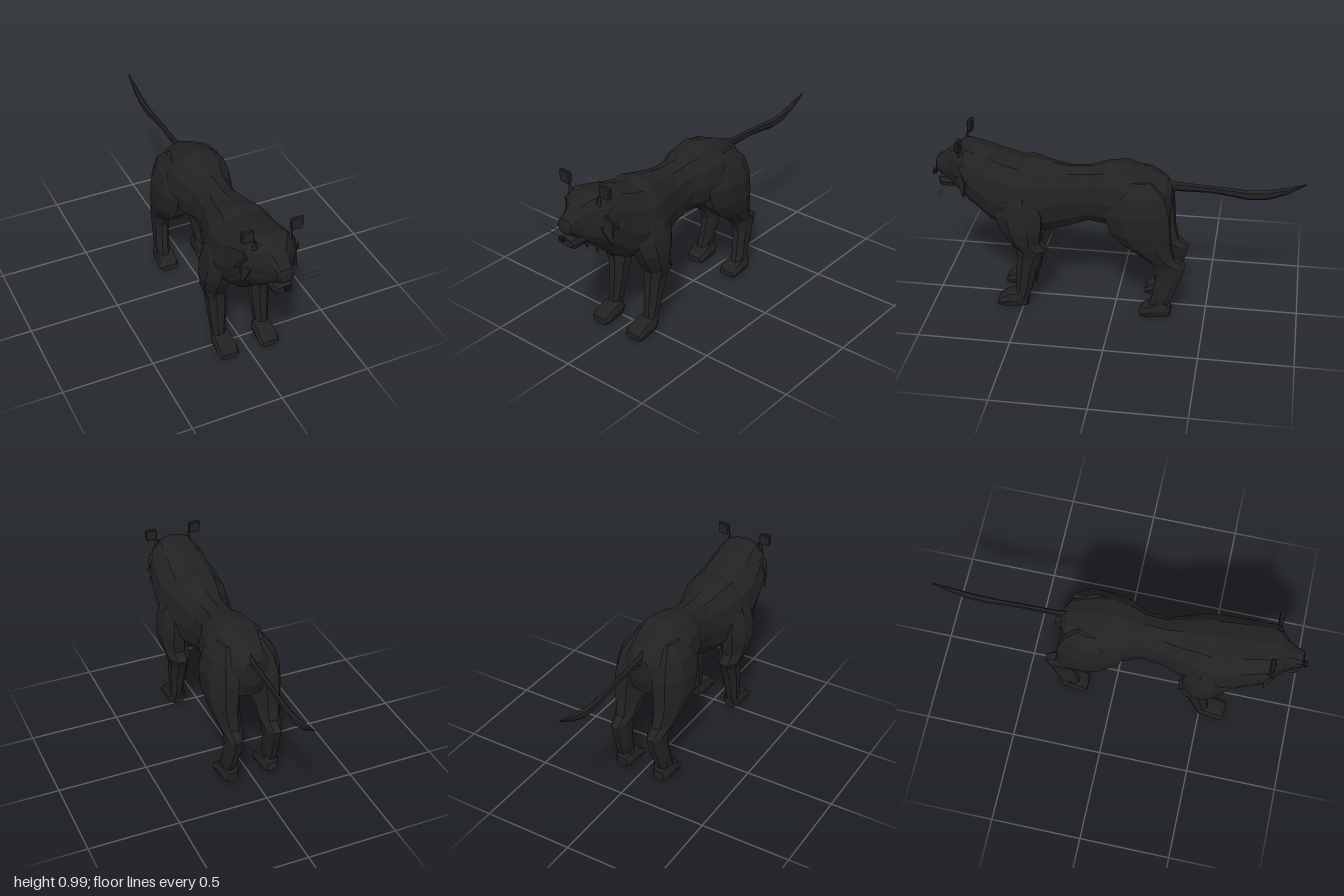
import * as THREE from 'three';

const mat = (name, color, extra = {}) => {
  const m = new THREE.MeshStandardMaterial({ color, flatShading: true, ...extra });
  m.name = name;
  return m;
};

// Skin a list of rings (arrays of Vector3) and close both ends
function loft(rings) {
  const n = rings[0].length, tri = [];
  const centre = r => r.reduce((s, p) => s.add(p), new THREE.Vector3()).divideScalar(n);
  for (let i = 0; i < rings.length - 1; i++) {
    for (let j = 0; j < n; j++) {
      const k = (j + 1) % n, a = rings[i][j], b = rings[i][k], c = rings[i + 1][k], d = rings[i + 1][j];
      tri.push([a, b, c], [a, c, d]);
    }
  }
  const first = rings[0], last = rings[rings.length - 1], c0 = centre(first), c1 = centre(last);
  for (let j = 0; j < n; j++) {
    const k = (j + 1) % n;
    tri.push([c0, first[k], first[j]], [c1, last[j], last[k]]);
  }
  // Turn the faces outward
  const volume = tri.reduce((s, [a, b, c]) => s + a.dot(new THREE.Vector3().crossVectors(b, c)), 0);
  const pos = [];
  for (const [a, b, c] of tri) for (const p of volume < 0 ? [a, c, b] : [a, b, c]) pos.push(p.x, p.y, p.z);
  const g = new THREE.BufferGeometry();
  g.setAttribute('position', new THREE.Float32BufferAttribute(pos, 3));
  g.computeVertexNormals();
  return g;
}

const soft = (v, e) => Math.sign(v) * Math.abs(v) ** e;

// Upright rings along z: [z, top, bottom, half width, height share of the widest point]
const alongZ = (rows, n, e = 1) => loft(rows.map(([z, top, bot, w, m = 0.5]) => {
  const mid = bot + (top - bot) * m;
  return Array.from({ length: n }, (_, i) => {
    const a = i / n * Math.PI * 2, c = soft(Math.cos(a), e);
    return new THREE.Vector3(w * soft(Math.sin(a), e), mid + c * (c > 0 ? top - mid : mid - bot), z);
  });
}));

// Flat rings along y: [y, inner x, outer x, back z, front z]
const alongY = (rows, n = 8) => loft(rows.map(([y, x0, x1, z0, z1]) =>
  Array.from({ length: n }, (_, i) => {
    const a = (i + 0.5) / n * Math.PI * 2;
    const k = 1 / Math.cos(Math.PI / n);
    return new THREE.Vector3((x0 + x1) / 2 + (x1 - x0) / 2 * k * Math.cos(a), y,
      (z0 + z1) / 2 + (z1 - z0) / 2 * k * Math.sin(a));
  })));

export function createModel() {
  const root = new THREE.Group();
  root.name = 'panther';
  const fur = mat('black fur', 0x222222);
  const dark = mat('dark nose', 0x141414);
  const grey = mat('whisker grey', 0x777777);
  const eyeMat = mat('pale eye', 0xb0b0a8);

  const add = (name, geo, material, parent = root) => {
    const m = new THREE.Mesh(geo, material);
    m.name = name;
    parent.add(m);
    return m;
  };

  // Torso and neck
  add('body', alongZ([
    [-0.30, 0.75, 0.60, 0.06], [-0.27, 0.785, 0.52, 0.12], [-0.18, 0.825, 0.47, 0.165],
    [-0.05, 0.862, 0.49, 0.18], [0.05, 0.85, 0.512, 0.16], [0.14, 0.825, 0.515, 0.118],
    [0.25, 0.82, 0.47, 0.115], [0.35, 0.835, 0.445, 0.15], [0.46, 0.862, 0.435, 0.185],
    [0.51, 0.852, 0.44, 0.19], [0.59, 0.875, 0.462, 0.19, 0.45], [0.67, 0.905, 0.495, 0.178, 0.45],
    [0.74, 0.92, 0.56, 0.168, 0.48], [0.79, 0.925, 0.60, 0.158, 0.5],
  ], 12, 0.92), fur);

  // Head tapering into a square muzzle
  add('head', alongZ([
    [0.74, 0.915, 0.60, 0.15], [0.80, 0.932, 0.62, 0.15], [0.84, 0.925, 0.655, 0.122],
    [0.89, 0.89, 0.685, 0.068], [0.93, 0.858, 0.725, 0.05], [0.968, 0.832, 0.75, 0.045],
    [0.975, 0.81, 0.765, 0.035],
  ], 12, 0.8), fur);
  add('jaw', alongZ([
    [0.84, 0.72, 0.67, 0.05], [0.89, 0.728, 0.668, 0.052], [0.945, 0.73, 0.665, 0.05],
    [0.962, 0.72, 0.68, 0.04],
  ], 8, 0.6), fur);
  add('noseTip', new THREE.BoxGeometry(0.03, 0.02, 0.018), dark).position.set(0, 0.735, 0.991);

  // Tail, thin and curving up at the tip
  add('tail', alongZ([
    [-0.25, 0.79, 0.69, 0.016], [-0.32, 0.768, 0.712, 0.012], [-0.50, 0.757, 0.715, 0.011],
    [-0.62, 0.750, 0.70, 0.011], [-0.70, 0.744, 0.687, 0.015], [-0.80, 0.752, 0.695, 0.015],
    [-0.90, 0.775, 0.735, 0.012], [-1.0, 0.803, 0.797, 0.003],
  ], 6), fur);

  // Legs, ears and face details, built on the left and mirrored
  const pawRows = z => [
    [z, 0.07, 0.008, 0.032], [z + 0.03, 0.10, 0, 0.05], [z + 0.09, 0.09, 0, 0.056],
    [z + 0.14, 0.065, 0, 0.058], [z + 0.165, 0.04, 0.005, 0.05],
  ];
  const ear = new THREE.Shape([
    [-0.022, -0.033], [0.022, -0.033], [0.033, -0.02], [0.033, 0.033], [-0.025, 0.033], [-0.033, 0.024], [-0.033, -0.02],
  ].map(p => new THREE.Vector2(...p)));
  const earGeo = new THREE.ExtrudeGeometry(ear, {
    depth: 0.012, bevelEnabled: true, bevelThickness: 0.006, bevelSize: 0.005, bevelOffset: -0.005, bevelSegments: 1,
  });

  // A four-sided pointed tuft from base to tip
  const tuft = (name, base, tip, r, parent) => {
    const a = new THREE.Vector3(...base), b = new THREE.Vector3(...tip), d = b.clone().sub(a);
    const m = add(name, new THREE.ConeGeometry(r, d.length(), 4), fur, parent);
    m.position.copy(a).add(b).multiplyScalar(0.5);
    m.quaternion.setFromUnitVectors(new THREE.Vector3(0, 1, 0), d.normalize());
  };

  const frontLeg = alongY([
    [0.74, 0.08, 0.155, 0.47, 0.56], [0.66, 0.07, 0.195, 0.41, 0.61], [0.58, 0.065, 0.212, 0.38, 0.63],
    [0.50, 0.065, 0.22, 0.385, 0.605], [0.42, 0.068, 0.206, 0.395, 0.56], [0.37, 0.07, 0.19, 0.362, 0.525],
    [0.32, 0.072, 0.175, 0.39, 0.525], [0.24, 0.075, 0.172, 0.42, 0.53], [0.10, 0.09, 0.16, 0.455, 0.54],
    [0.02, 0.088, 0.16, 0.48, 0.55],
  ]);
  const hindLeg = alongY([
    [0.80, 0.06, 0.12, -0.19, -0.06], [0.73, 0.03, 0.178, -0.265, 0.02], [0.63, 0.02, 0.203, -0.298, 0.05],
    [0.52, 0.035, 0.204, -0.305, 0.015], [0.44, 0.045, 0.19, -0.31, -0.06], [0.36, 0.055, 0.168, -0.328, -0.17],
    [0.32, 0.065, 0.155, -0.388, -0.21], [0.26, 0.07, 0.152, -0.372, -0.235], [0.13, 0.082, 0.158, -0.328, -0.215],
    [0.06, 0.088, 0.16, -0.29, -0.195], [0.02, 0.09, 0.16, -0.27, -0.19],
  ]);

  for (const s of [1, -1]) {
    const side = new THREE.Group();
    side.name = s > 0 ? 'leftSide' : 'rightSide';
    side.scale.x = s;
    root.add(side);

    add('frontLeg', frontLeg, fur, side);
    add('hindLeg', hindLeg, fur, side);
    add('frontPaw', alongZ(pawRows(0.475), 8, 0.65), fur, side).position.x = 0.118;
    add('hindPaw', alongZ(pawRows(-0.315), 8, 0.65), fur, side).position.x = 0.118;

    add('ear', earGeo, fur, side).position.set(0.131, 0.958, 0.81);
    tuft('earTuft', [0.085, 0.85, 0.825], [0.103, 0.948, 0.825], 0.028, side);
    tuft('cheekTuft', [0.12, 0.83, 0.80], [0.178, 0.75, 0.77], 0.035, side);
    tuft('lowerCheekTuft', [0.11, 0.77, 0.81], [0.155, 0.66, 0.80], 0.04, side);
    tuft('chinTuft', [0.04, 0.69, 0.80], [0.035, 0.57, 0.785], 0.04, side);

    const eye = add('eye', new THREE.BoxGeometry(0.014, 0.007, 0.006), eyeMat, side);
    eye.position.set(0.071, 0.847, 0.872);
    eye.rotation.set(-0.3, 0.7, 0.4);

    for (const y of [0.715, 0.685]) {
      add('whisker', new THREE.BoxGeometry(0.12, 0.003, 0.003), grey, side).position.set(0.154, y, 0.92);
    }
  }
  return root;
}
